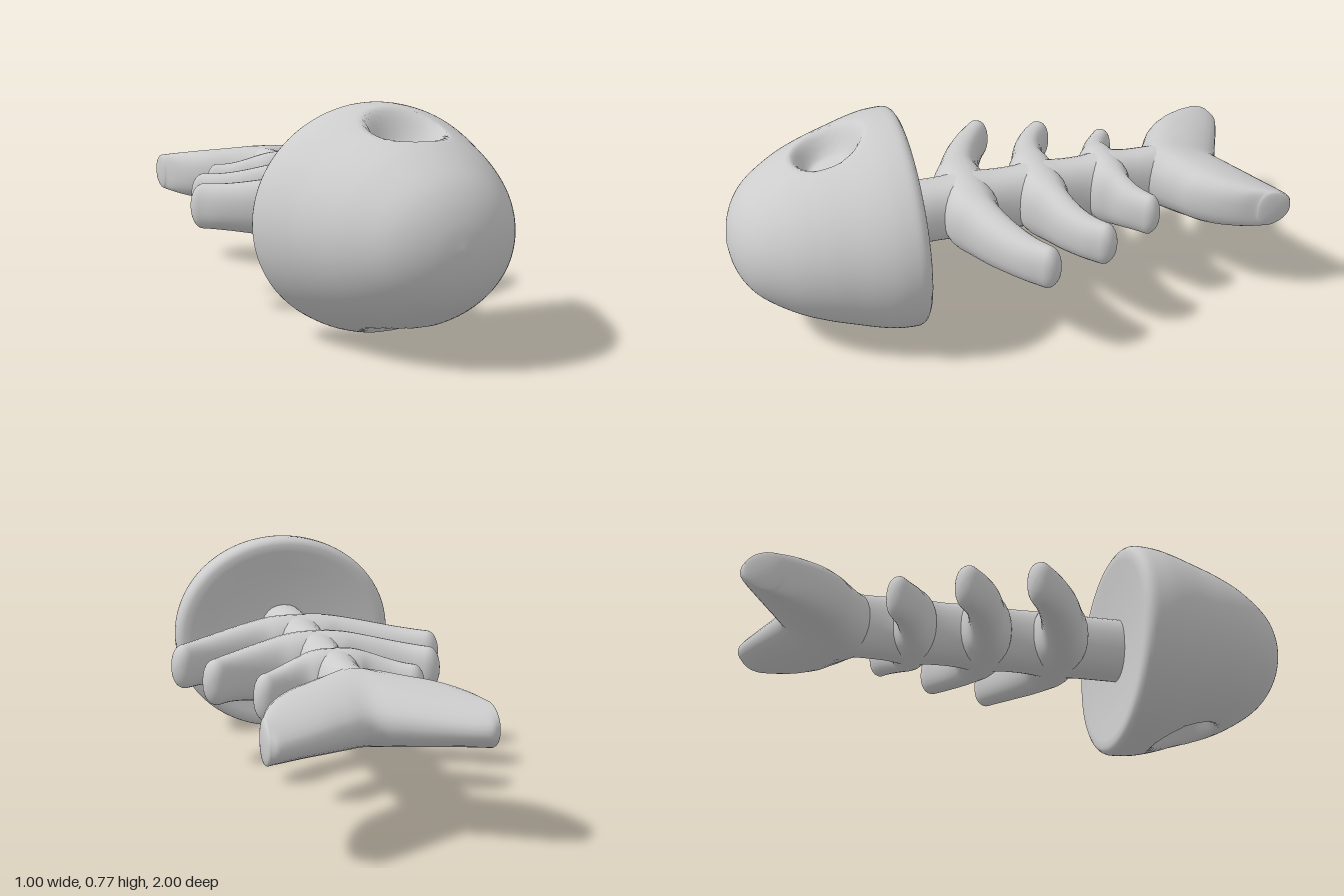
import * as THREE from 'three';
import { mergeVertices } from 'three/addons/utils/BufferGeometryUtils.js';

const MID = 0.39; // height of the centre plane
const { lerp, smoothstep, clamp } = THREE.MathUtils;

// Sweeps a rounded section along points (x, half width, z); height(x, z) is the half height.
function limb(points, height, capLength, fixedTangent) {
  const curve = new THREE.CatmullRomCurve3(points.map((p) => new THREE.Vector3(...p)));
  const steps = 72, caps = 8, ring = 28;
  const sections = [];
  for (let i = -caps; i <= steps + caps; i++) {
    const t = clamp(i / steps, 0, 1);
    const p = curve.getPoint(t);
    const tan = fixedTangent ? fixedTangent.clone() : curve.getTangent(t).setY(0).normalize();
    const over = i < 0 ? i / caps : i > steps ? (i - steps) / caps : 0;
    const angle = over * Math.PI / 2;
    p.addScaledVector(tan, Math.sin(angle) * capLength);
    sections.push({ p, tan, k: Math.max(Math.cos(angle), 0.001) });
  }
  const pos = [], index = [];
  const power = (v) => Math.sign(v) * Math.pow(Math.abs(v), 0.88);
  sections.forEach(({ p, tan, k }, i) => {
    for (let j = 0; j < ring; j++) {
      const a = j / ring * Math.PI * 2;
      const side = p.y * k * power(Math.cos(a));
      const x = p.x + tan.z * side, z = p.z - tan.x * side;
      pos.push(x, MID + height(x, z) * k * power(Math.sin(a)), z);
      if (i === sections.length - 1) continue;
      const n = (j + 1) % ring, r = i * ring, s = r + ring;
      index.push(r + j, r + n, s + n, r + j, s + n, s + j);
    }
  });
  const g = new THREE.BufferGeometry();
  g.setAttribute('position', new THREE.Float32BufferAttribute(pos, 3));
  g.setIndex(index);
  g.computeVertexNormals();
  return g;
}

// Completes a half list (from the middle outwards) to a symmetric one, running from -x to +x.
const mirrored = (half) => [
  ...half.filter((p) => p[0] > 0).reverse().map(([x, w, z]) => [-x, w, z]),
  ...half,
];

// Domed head, flat at the back, with an eye socket pressed into the top and the underside.
function headGeometry() {
  const profile = [
    [0.415, 0.368], [0.427, 0.385], [0.428, 0.42], [0.423, 0.47], [0.408, 0.53], [0.385, 0.6],
    [0.35, 0.7], [0.303, 0.8], [0.232, 0.9], [0.165, 0.955], [0.085, 0.988], [0, 1],
  ].map((p) => new THREE.Vector2(...p));
  const back = [[0, 0.385], [0.1, 0.383], [0.2, 0.378], [0.3, 0.37], [0.37, 0.361], [0.4, 0.36]]
    .map((p) => new THREE.Vector2(...p));
  const dome = new THREE.SplineCurve(profile).getSpacedPoints(64);
  let g = new THREE.LatheGeometry([...back, ...dome], 128);
  g.rotateX(Math.PI / 2);
  g.scale(1, 0.9, 1);
  g.deleteAttribute('uv');
  g.deleteAttribute('normal');
  g = mergeVertices(g, 1e-4);
  const p = g.attributes.position;
  for (let i = 0; i < p.count; i++) {
    const x = p.getX(i), y = p.getY(i), z = p.getZ(i);
    const d = Math.hypot(x, z - 0.625);
    const dent = z > 0.45 && Math.abs(y) > 0.2 ? 0.1 * (1 - smoothstep(d, 0.06, 0.135)) : 0;
    p.setY(i, MID + y - Math.sign(y) * dent);
  }
  g.computeVertexNormals();
  return g;
}

export function createModel() {
  const bone = new THREE.MeshStandardMaterial({ color: 0xcccccc });
  bone.name = 'bone grey';
  const model = new THREE.Group();
  model.name = 'fishSkeleton';
  const add = (name, geometry) => {
    const mesh = new THREE.Mesh(geometry, bone);
    mesh.name = name;
    model.add(mesh);
  };

  add('head', headGeometry());

  // Spine, slightly thicker where the ribs meet it
  const bump = (z) => [0.13, -0.14, -0.4].reduce((s, c) => s + Math.exp(-(((z - c) / 0.06) ** 2)), 0);
  const spine = [];
  for (let z = 0.42; z > -0.66; z -= 0.045) {
    spine.push([0, lerp(0.074, 0.094, clamp((z + 0.5) / 0.8, 0, 1)) + 0.018 * bump(z), z]);
  }
  add('spine', limb(spine, (x, z) => 0.118 + 0.008 * bump(z), 0.02));

  // Rib pairs, each swept from tip to tip: x, half width, z
  const ribs = [
    [[0, 0.1, 0.14], [0.1, 0.1, 0.14], [0.17, 0.079, 0.125], [0.28, 0.067, 0.085], [0.39, 0.055, 0.025], [0.455, 0.045, -0.025]],
    [[0, 0.095, -0.13], [0.09, 0.092, -0.135], [0.16, 0.069, -0.148], [0.26, 0.058, -0.178], [0.33, 0.051, -0.215], [0.378, 0.045, -0.255]],
    [[0, 0.082, -0.39], [0.08, 0.078, -0.393], [0.13, 0.056, -0.405], [0.19, 0.049, -0.43], [0.25, 0.041, -0.473]],
  ];
  ribs.forEach((half, i) => {
    const [tip, w] = half[half.length - 1];
    const height = (x) => lerp(0.128, 0.08, smoothstep(Math.abs(x), 0.03, tip));
    add('ribPair' + (i + 1), limb(mirrored(half), height, w));
  });

  // Forked tail, thinning towards its back edge
  const outline = [
    [0, -0.49, -0.86], [0.08, -0.555, -0.89], [0.15, -0.605, -0.925], [0.22, -0.65, -0.96],
    [0.28, -0.715, -0.988], [0.32, -0.785, -1.0], [0.343, -0.855, -0.99],
  ];
  const tail = outline.map(([x, front, rear]) => [x, (front - rear) / 2, (front + rear) / 2]);
  const tailHeight = (x, z) => lerp(0.126, 0.055, clamp((-z - 0.64) / 0.35, 0, 1));
  add('tail', limb(mirrored(tail), tailHeight, 0.014, new THREE.Vector3(1, 0, 0)));

  return model;
}
